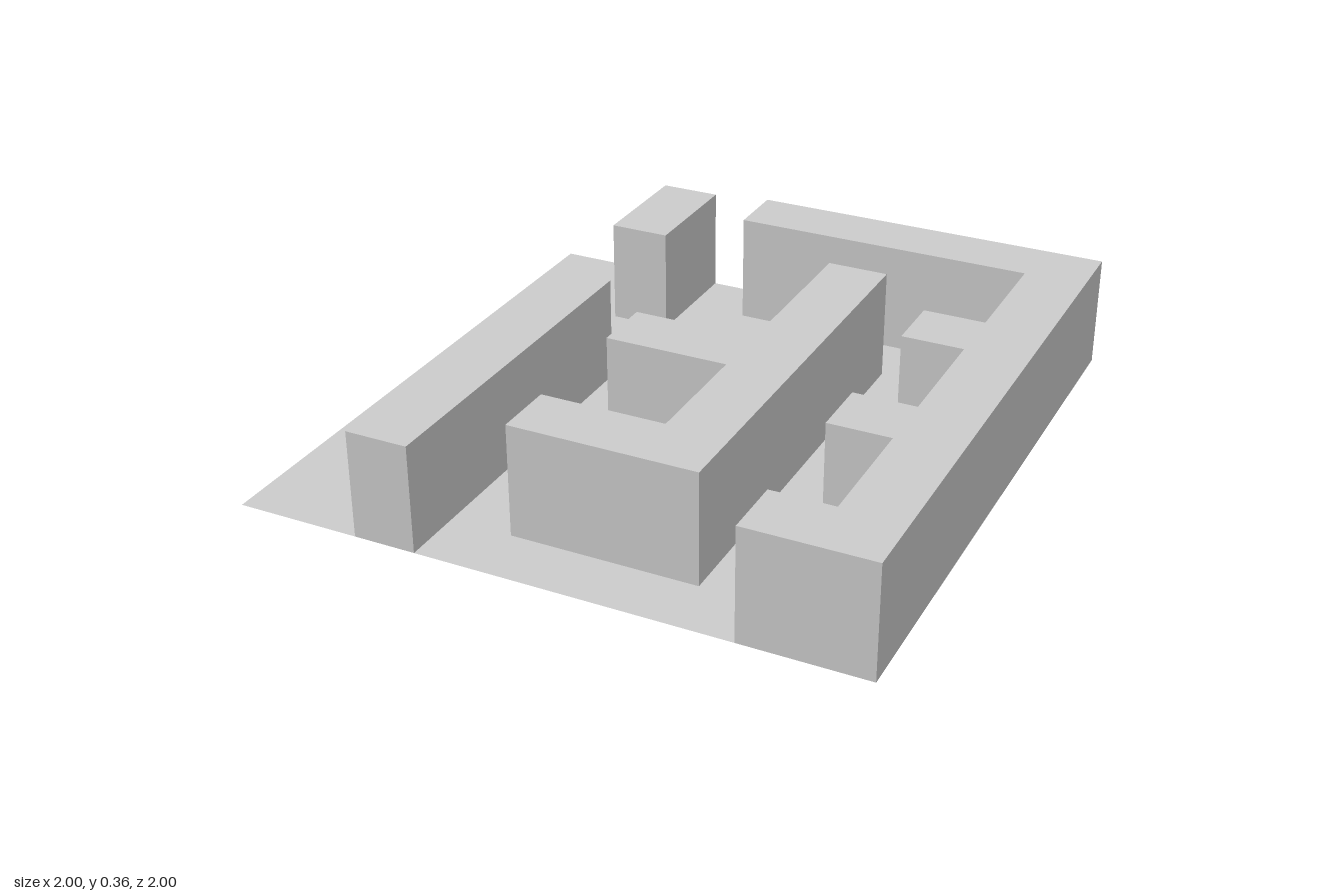
import * as THREE from 'three';
import { mergeGeometries } from 'three/addons/utils/BufferGeometryUtils.js';

const TALL = 0.364, LOW = 0.347;

// Footprints as [x, z] corners, clockwise seen from above
const boundary = [
  [-0.2, -1], [1, -1], [1, 1], [0.6, 1], [0.6, 0.8], [0.8, 0.8], [0.8, 0.4], [0.6, 0.4],
  [0.6, 0.2], [0.8, 0.2], [0.8, -0.2], [0.6, -0.2], [0.6, -0.4], [0.8, -0.4], [0.8, -0.8], [-0.2, -0.8],
];
const centre = [
  [0.2, -0.6], [0.4, -0.6], [0.4, 0.8], [-0.2, 0.8], [-0.2, 0.6],
  [0.2, 0.6], [0.2, 0.2], [-0.2, 0.2], [-0.2, 0], [0.2, 0],
];
const longStrip = [[-0.6, -0.2], [-0.4, -0.2], [-0.4, 1], [-0.6, 1]];
const shortStrip = [[-0.6, -1], [-0.4, -1], [-0.4, -0.6], [-0.6, -0.6]];

const toPoints = (pts) => pts.map(([x, z]) => new THREE.Vector2(x, -z));

// Flat horizontal sheet facing up
function sheet(pts, y, holes = []) {
  const shape = new THREE.Shape(toPoints(pts));
  shape.holes = holes.map((h) => new THREE.Path(toPoints(h)));
  return new THREE.ShapeGeometry(shape).rotateX(-Math.PI / 2).translate(0, y, 0);
}

// Hollow wall block: a top and one panel per footprint edge, open underneath
function wallGeometry(pts, height) {
  const parts = [sheet(pts, height)];
  pts.forEach(([x, z], i) => {
    const [nx, nz] = pts[(i + 1) % pts.length];
    const dx = nx - x, dz = nz - z;
    parts.push(new THREE.PlaneGeometry(Math.hypot(dx, dz), height)
      .rotateY(Math.atan2(dz, -dx))
      .translate((x + nx) / 2, height / 2, (z + nz) / 2));
  });
  return mergeGeometries(parts);
}

export function createModel() {
  const group = new THREE.Group();
  const material = new THREE.MeshStandardMaterial({ color: 0xcccccc, side: THREE.DoubleSide });
  const add = (name, geometry) => {
    const mesh = new THREE.Mesh(geometry, material);
    mesh.name = name;
    group.add(mesh);
  };

  // Maze walls
  add('boundaryWall', wallGeometry(boundary, TALL));
  add('centreWall', wallGeometry(centre, TALL));
  add('longLowWall', wallGeometry(longStrip, LOW));
  add('shortLowWall', wallGeometry(shortStrip, LOW));

  // Floor, cut away beneath every wall
  const floorOutline = [
    [-1, -1], [-0.6, -1], [-0.6, -0.6], [-0.4, -0.6], [-0.4, -1], boundary[0],
    ...boundary.slice(3).reverse(),
    [-0.4, 1], [-0.4, -0.2], [-0.6, -0.2], [-0.6, 1], [-1, 1],
  ];
  add('floor', sheet(floorOutline, 0, [centre]));

  return group;
}
